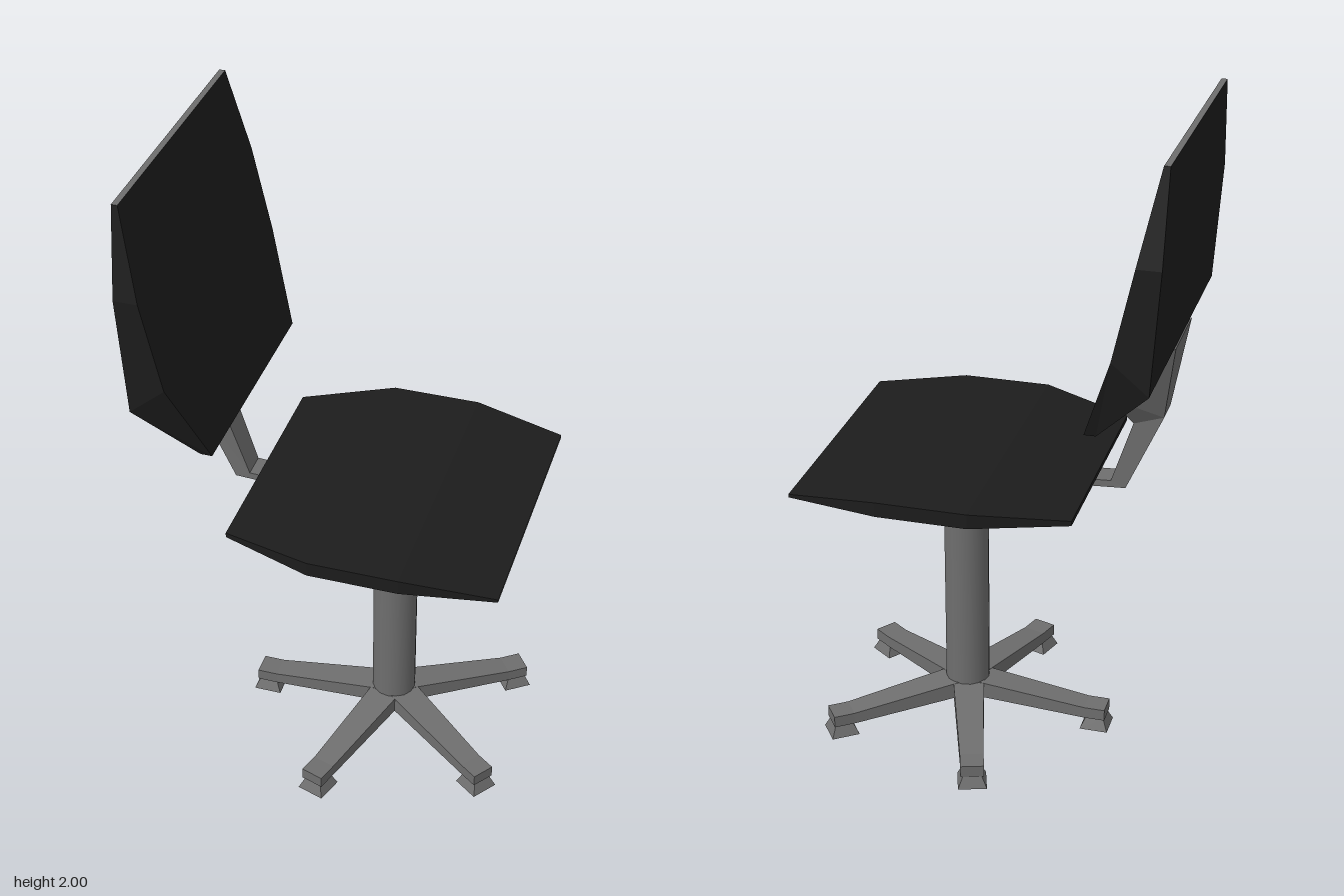
import * as THREE from 'three';

const black = new THREE.MeshStandardMaterial({ color: 0x1c1c1c });
black.name = 'black upholstery';
const grey = new THREE.MeshStandardMaterial({ color: 0x6e6e6e });
grey.name = 'grey metal';

// Faceted solid through four-cornered sections [ax, ay, bx, by, halfWidth];
// the faces listed in greyFaces ('b', 'start', 'end') are bare metal
function loft(name, material, sections, greyFaces = []) {
  const rings = sections.map(([ax, ay, bx, by, w]) => [
    [ax, ay, w], [ax, ay, -w], [bx, by, -w], [bx, by, w],
  ]);
  const points = [];
  const geometry = new THREE.BufferGeometry();
  const quad = (face, a, b, c, d) => {
    geometry.addGroup(points.length / 3, 6, greyFaces.includes(face) ? 1 : 0);
    points.push(...a, ...b, ...c, ...a, ...c, ...d);
  };
  const faces = ['a', 'right', 'b', 'left'];
  for (let s = 0; s < rings.length - 1; s++) {
    const p = rings[s], n = rings[s + 1];
    faces.forEach((face, i) => {
      const j = (i + 1) % 4;
      quad(face, p[i], n[i], n[j], p[j]);
    });
  }
  quad('start', ...rings[0]);
  quad('end', ...rings[rings.length - 1].slice().reverse());
  geometry.setAttribute('position', new THREE.Float32BufferAttribute(points, 3));
  geometry.computeVertexNormals();
  const mesh = new THREE.Mesh(geometry, [material, grey]);
  mesh.name = name;
  return mesh;
}

export function createModel() {
  const model = new THREE.Group();
  model.name = 'swivelChair';

  // The whole chair is built around its column, then turned slightly
  const chair = new THREE.Group();
  chair.name = 'chair';
  chair.position.set(0.132, 0, -0.042);
  chair.rotation.y = THREE.MathUtils.degToRad(9.9);
  model.add(chair);

  // Seat: gently arched cushion, metal underside and front edge
  const seat = loft('seat', black, [
    [-0.42, 0.915, -0.42, 0.9, 0.361],
    [-0.14, 0.945, -0.14, 0.9, 0.457],
    [0.133, 0.945, 0.133, 0.9, 0.457],
    [0.413, 0.91, 0.413, 0.9, 0.41],
  ], ['b', 'end']);
  seat.position.z = -0.004;

  // Backrest: flat leaning front, bulging rear, metal top edge
  const backrest = loft('backrest', black, [
    [-0.66, 2.0, -0.678, 2.0, 0.412],
    [-0.603, 1.73, -0.674, 1.73, 0.459],
    [-0.543, 1.46, -0.65, 1.37, 0.459],
    [-0.45, 1.19, -0.485, 1.19, 0.361],
  ], ['start']);
  backrest.position.z = -0.004;

  // Arm from below the seat up to the flared back bracket
  const arm = loft('backArm', grey, [
    [-0.14, 0.852, -0.115, 0.873, 0.04],
    [-0.505, 0.873, -0.46, 0.892, 0.04],
    [-0.615, 1.12, -0.525, 1.09, 0.046],
    [-0.655, 1.372, -0.47, 1.195, 0.118],
  ]);
  arm.position.z = -0.006;

  // Column
  const column = new THREE.Mesh(new THREE.CylinderGeometry(0.069, 0.069, 0.81, 16), grey);
  column.name = 'column';
  column.position.y = 0.495;
  chair.add(seat, backrest, arm, column);

  // Five-legged base with flared feet
  const base = new THREE.Group();
  base.name = 'base';
  for (let i = 0; i < 5; i++) {
    const leg = new THREE.Group();
    leg.name = 'leg';
    leg.rotation.y = Math.PI + (i * Math.PI * 2) / 5;
    const beam = loft('legBeam', grey, [
      [0, 0.125, 0, 0.07, 0.05],
      [0.39, 0.075, 0.39, 0.038, 0.036],
      [0.455, 0.075, 0.455, 0.038, 0.036],
    ]);
    const footShape = new THREE.CylinderGeometry(0.038, 0.062, 0.04, 4).toNonIndexed();
    footShape.rotateY(Math.PI / 4);
    footShape.computeVertexNormals();
    const foot = new THREE.Mesh(footShape, grey);
    foot.name = 'foot';
    foot.position.set(0.422, 0.02, 0);
    leg.add(beam, foot);
    base.add(leg);
  }
  chair.add(base);
  return model;
}
